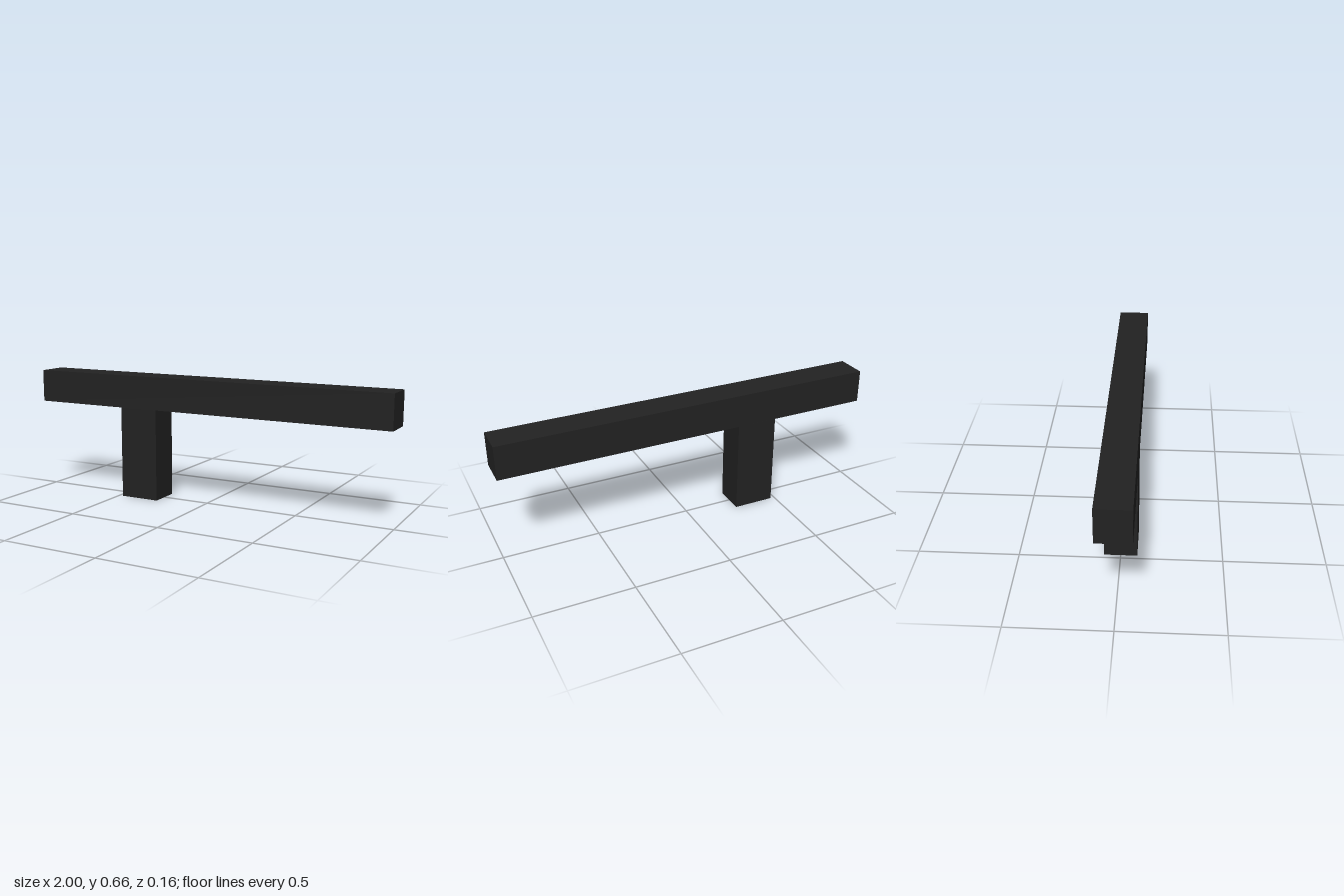
import * as THREE from 'three';

const DEPTH = 0.164;

// Solid slab from a front outline, centred on z = 0
function slab(name, outline, material) {
  const shape = new THREE.Shape(outline.map(([x, y]) => new THREE.Vector2(x, y)));
  const geometry = new THREE.ExtrudeGeometry(shape, { depth: DEPTH, bevelEnabled: false });
  geometry.translate(0, 0, -DEPTH / 2);
  const mesh = new THREE.Mesh(geometry, material);
  mesh.name = name;
  return mesh;
}

export function createModel() {
  const model = new THREE.Group();
  model.name = 'tBar';
  const charcoal = new THREE.MeshStandardMaterial({ color: 0x222222 });
  charcoal.name = 'charcoal';

  // Long bar, dropping very slightly towards +x
  model.add(slab('crossBar', [[-1, 0.489], [1, 0.483], [1, 0.657], [-1, 0.662]], charcoal));

  // Off-centre post, its top meeting the underside of the bar
  model.add(slab('post', [[-0.478, 0], [-0.263, 0], [-0.263, 0.487], [-0.478, 0.487]], charcoal));

  return model;
}
